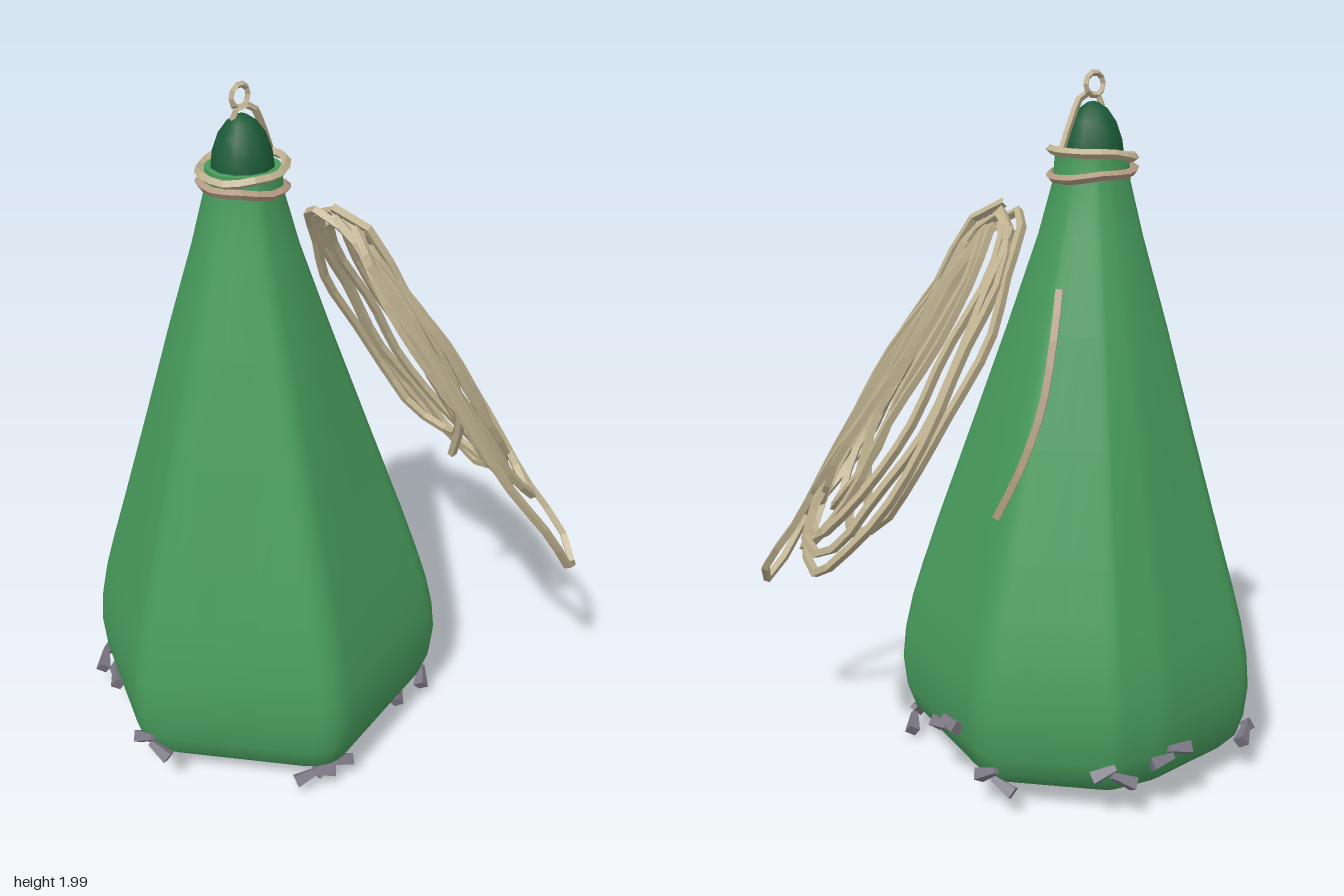
import * as THREE from 'three';

const V = (x, y, z) => new THREE.Vector3(x, y, z);
const mat = (name, color, extra = {}) => Object.assign(new THREE.MeshStandardMaterial({ color, ...extra }), { name });

// axis of the float
const CX = -0.13, CZ = -0.13;
// plan outline corners at the widest level, relative to the axis
const CORNERS = [[-0.52, 0.04], [-0.27, -0.42], [0.1, -0.46], [0.26, -0.43],
  [0.515, -0.15], [0.4, 0.425], [-0.2, 0.53]];
// height and scale of each level
const PROFILE = [[0.03, 0.64], [0.045, 0.76], [0.07, 0.86], [0.11, 0.94], [0.17, 0.98], [0.26, 1], [0.35, 0.985],
  [0.45, 0.945], [0.55, 0.89], [0.7, 0.80], [1.0, 0.615], [1.3, 0.432], [1.55, 0.28], [1.7, 0.205], [1.775, 0.195]];

// outline with slightly rounded corners
function outline() {
  const pts = [], n = CORNERS.length;
  for (let i = 0; i < n; i++) {
    const p = new THREE.Vector2(...CORNERS[i]);
    const a = p.clone().lerp(new THREE.Vector2(...CORNERS[(i + n - 1) % n]), 0.12);
    const b = p.clone().lerp(new THREE.Vector2(...CORNERS[(i + 1) % n]), 0.12);
    pts.push(...new THREE.QuadraticBezierCurve(a, p, b).getPoints(4));
    const c = new THREE.Vector2(...CORNERS[(i + 1) % n]);
    pts.push(p.clone().lerp(c, 0.37), p.clone().lerp(c, 0.63));
  }
  return pts;
}

// skin of quads through scaled outlines, growing rounder towards the top
function loft(levels) {
  const o = outline(), n = o.length, pos = [], idx = [];
  for (const [y, s] of levels) {
    const round = THREE.MathUtils.smoothstep(y, 0.7, 1.75) * 0.85;
    for (const p of o) {
      const r = THREE.MathUtils.lerp(p.length(), 0.53, round) / p.length() * s;
      pos.push(CX + p.x * r, y, CZ + p.y * r);
    }
  }
  for (let j = 0; j < levels.length - 1; j++) for (let i = 0; i < n; i++) {
    const a = j * n + i, b = j * n + (i + 1) % n;
    idx.push(a, a + n, b, b, a + n, b + n);
  }
  const g = new THREE.BufferGeometry();
  g.setAttribute('position', new THREE.Float32BufferAttribute(pos, 3));
  g.setIndex(idx);
  g.computeVertexNormals();
  return g;
}

export function createModel() {
  const root = new THREE.Group();
  const green = mat('floatGreen', 0x479a5c, { side: THREE.DoubleSide });
  const dark = mat('darkGreen', 0x1b5a37, { side: THREE.DoubleSide });
  const rope = mat('ropeTan', 0xbfb290, { flatShading: true });
  const pink = mat('ropeBrown', 0xb29a82, { flatShading: true });
  const grey = mat('barnacleGrey', 0x7d7885, { flatShading: true });
  const add = (name, geo, m, parent = root) => {
    const mesh = new THREE.Mesh(geo, m);
    mesh.name = name;
    parent.add(mesh);
    return mesh;
  };
  const tube = (name, pts, closed, m, parent, segs = pts.length, r = 0.014) =>
    add(name, new THREE.TubeGeometry(new THREE.CatmullRomCurve3(pts, closed), segs, r, 4, closed), m, parent);

  // tapered body, dark underside and shoulder
  add('body', loft(PROFILE), green);
  add('underside', loft([[0.005, 0.001], [0.008, 0.45], [0.03, 0.64]]), dark);
  add('shoulder', loft([[1.775, 0.195], [1.78, 0.001]]), green);

  // domed cap
  const dome = [[0.088, 1.77], [0.083, 1.81], [0.065, 1.86], [0.04, 1.895], [0.015, 1.912], [0, 1.915]];
  add('cap', new THREE.LatheGeometry(dome.map(p => new THREE.Vector2(...p)), 12), dark).position.set(CX, 0, CZ);

  // eye of rope on the cap and the strand leading from it
  const eye = add('ropeEye', new THREE.TorusGeometry(0.031, 0.009, 4, 10), rope);
  eye.position.set(CX, 1.96, CZ - 0.005);
  tube('eyeStrand', [V(-0.155, 1.9, -0.14), V(-0.14, 1.935, -0.13), V(-0.1, 1.93, -0.12), V(-0.06, 1.87, -0.125),
    V(-0.01, 1.78, -0.14)], false, rope, root, 8, 0.01);

  // rope bound around the neck
  [[1.77, 0.117, 0.012], [1.72, 0.117, -0.012]].forEach(([y, r, tilt], k) => {
    const pts = [];
    for (let i = 0; i < 9; i++) {
      const a = i / 9 * Math.PI * 2 + k * 0.3;
      pts.push(V(CX + Math.cos(a) * r, y + Math.cos(a) * tilt + (i % 2) * 0.006, CZ + Math.sin(a) * r));
    }
    tube('neckRope', pts, true, k ? pink : rope, root, 18, 0.013);
  });

  // hanging coil: each loop has a top, a bottom and a half-width vector
  const coil = new THREE.Group();
  coil.name = 'ropeCoil';
  root.add(coil);
  const loops = [
    [[0.08, 1.58, 0.10], [0.56, 0.48, 0.58], [0.10, 0.03, -0.11]],
    [[0.07, 1.59, 0.08], [0.50, 0.72, 0.43], [0.08, 0.05, -0.13]],
    [[0.09, 1.57, 0.06], [0.47, 0.76, 0.38], [0.12, 0.00, -0.11]],
    [[0.07, 1.61, 0.04], [0.57, 0.66, 0.30], [0.06, 0.03, -0.16]],
    [[0.08, 1.62, 0.00], [0.64, 0.64, 0.14], [0.02, 0.03, -0.22]],
    [[0.10, 1.61, -0.02], [0.61, 0.68, 0.18], [0.01, 0.02, -0.19]],
    [[0.06, 1.62, -0.03], [0.55, 0.76, 0.06], [0.02, 0.02, -0.19]],
    [[0.09, 1.59, 0.05], [0.50, 0.78, 0.25], [0.06, 0.04, -0.14]],
    [[0.07, 1.60, 0.02], [0.58, 0.71, 0.24], [0.04, 0.00, -0.17]],
  ];
  loops.forEach(([t, b, w], k) => {
    const top = V(...t), bottom = V(...b), side = V(...w), pts = [];
    for (let i = 0; i < 14; i++) {
      const a = i / 14 * Math.PI * 2;
      const wob = 0.008 * Math.sin(i * 2.3 + k * 1.7);
      pts.push(top.clone().lerp(bottom, (1 - Math.cos(a)) / 2)
        .addScaledVector(side, Math.sin(a) * (1 - 0.15 * Math.cos(a))).add(V(wob, 0, wob)));
    }
    tube('coilLoop', pts, true, rope, coil, 28);
  });

  // loose rope ends
  tube('looseEnd', [V(0.05, 1.42, -0.21), V(0.1, 1.3, -0.25), V(0.16, 1.12, -0.275), V(0.22, 0.96, -0.26),
    V(0.27, 0.82, -0.215)], false, pink, coil, 9);
  tube('looseEnd', [V(0.06, 1.64, 0.02), V(0.1, 1.6, 0.1), V(0.2, 1.35, 0.2), V(0.36, 1.0, 0.27),
    V(0.42, 0.78, 0.2)], false, rope, coil, 9);

  // small bent flakes clinging around the base
  const flakes = [[-0.62, 0.14, -0.07], [-0.27, 0.07, 0.33], [0.365, 0.2, -0.1], [0.34, 0.1, -0.3], [0.15, 0.045, 0.23],
    [-0.05, 0.17, -0.585], [0.12, 0.14, -0.545], [-0.41, 0.11, -0.52], [-0.47, 0.13, -0.4], [0.24, 0.06, 0.25],
    [-0.33, 0.06, 0.31]];
  flakes.forEach(([x, y, z], k) => {
    const flake = new THREE.Group();
    flake.name = 'barnacle';
    flake.position.set(x, y, z);
    flake.rotation.y = Math.atan2(x - CX, z - CZ);
    for (const s of [-1, 1]) {
      const part = add('barnacleHalf', new THREE.CylinderGeometry(0.012, 0.024, 0.07, 4), grey, flake);
      part.position.set(s * 0.026, s * (k % 3 - 1) * 0.012, 0);
      part.rotation.set(0.2, 0, s * (1.1 + 0.15 * (k % 3)));
    }
    root.add(flake);
  });
  return root;
}
